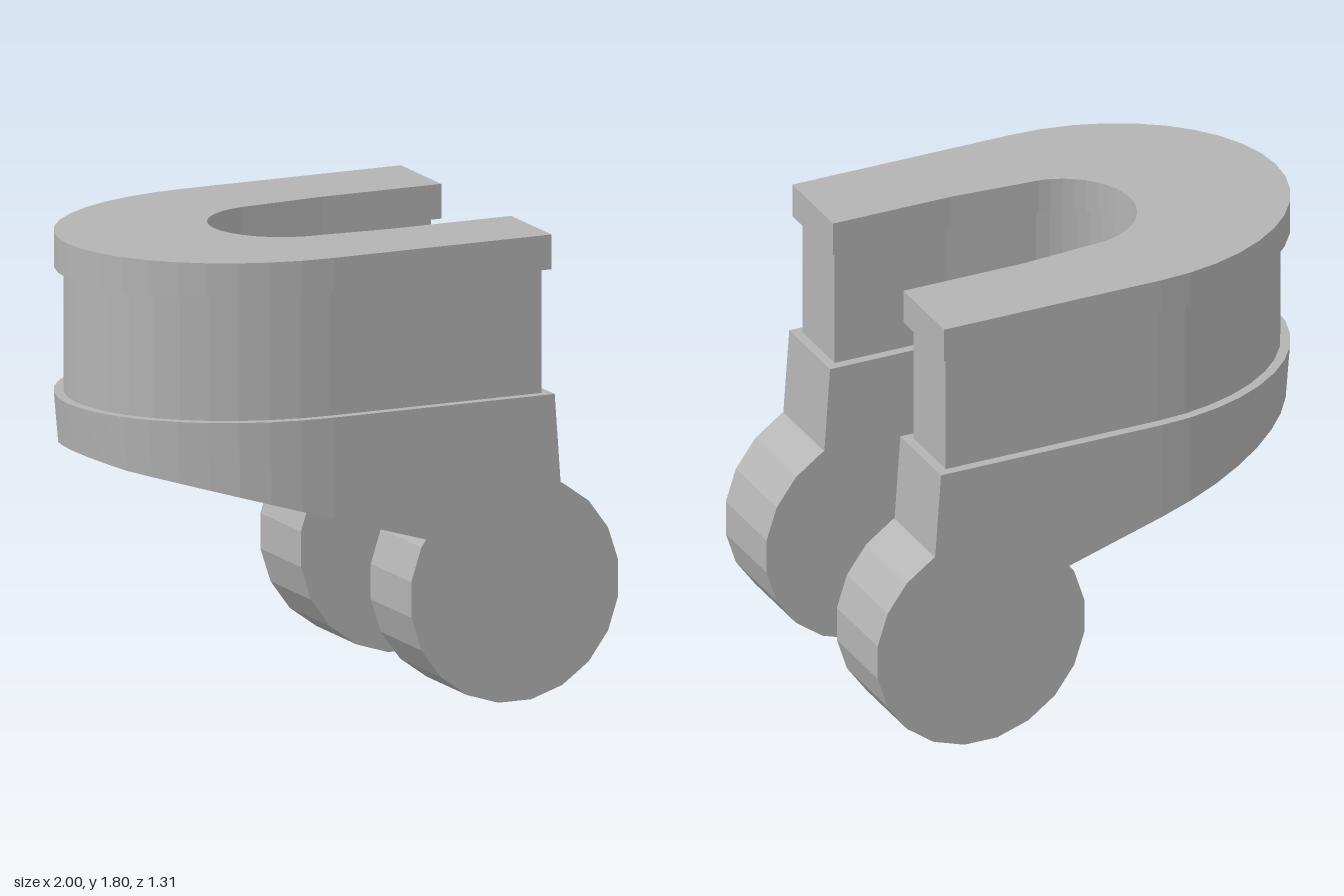
import * as THREE from 'three';

const grey = new THREE.MeshStandardMaterial({ color: 0xb3b3b3 });
grey.name = 'plain grey';

// Horseshoe outline, open towards +x; inset thins the wall on both sides
function horseshoe(inset, endX) {
  const half = [];
  const steps = 10;
  const outer = [[endX, 0.655 - inset]];
  for (let i = 0; i <= steps; i++) {
    const a = (i / steps) * Math.PI / 2;
    outer.push([-0.2 - (0.8 - inset) * Math.sin(a), (0.655 - inset) * Math.cos(a)]);
  }
  const inner = [[endX, 0.303 + inset], [0.22, 0.303 + inset]];
  for (let i = 0; i <= steps; i++) {
    const a = (i / steps) * Math.PI / 2;
    inner.push([-0.09 - (0.295 + inset) * Math.sin(a), (0.28 + inset) * Math.cos(a)]);
  }
  const mirror = (pts) => pts.slice(0, -1).reverse().map(([x, z]) => [x, -z]);
  half.push(...outer, ...mirror(outer));
  const slot = [...inner, ...mirror(inner)].reverse();
  return new THREE.Shape([...half, ...slot].map(([x, z]) => new THREE.Vector2(x, z)));
}

// Extrude a horseshoe upwards between two heights
function band(inset, endX, y0, y1) {
  const g = new THREE.ExtrudeGeometry(horseshoe(inset, endX), { depth: y1 - y0, bevelEnabled: false });
  g.rotateX(-Math.PI / 2);
  g.translate(0, y0, 0);
  return g;
}

export function createModel() {
  const group = new THREE.Group();
  group.name = 'forkBracket';
  const add = (name, geometry) => {
    const mesh = new THREE.Mesh(geometry, grey);
    mesh.name = name;
    group.add(mesh);
    return mesh;
  };

  add('topRim', band(0, 0.717, 1.66, 1.795));
  add('middleWall', band(0.038, 0.692, 1.175, 1.66));

  // Lower skirt: the underside slopes down to the legs, the ends lean slightly
  const skirt = band(0, 0.73, 0, 1.175);
  const p = skirt.attributes.position;
  for (let i = 0; i < p.count; i++) {
    if (p.getY(i) > 0.5) continue;
    let x = p.getX(i);
    if (x > 0.7) x = 0.78;
    else if (x < -0.385) x += 0.02 * (-0.385 - x) / 0.615;
    const tilt = 0.03 * Math.max(0, (Math.abs(p.getZ(i)) - 0.303) / 0.352);
    p.setXYZ(i, x, 0.99 - 0.305 * (x + 0.98) + tilt, p.getZ(i));
  }
  skirt.computeVertexNormals();
  add('lowerSkirt', skirt);

  // Twenty-sided round lugs, one at the foot of each arm
  const lug = new THREE.CylinderGeometry(0.4405, 0.4405, 0.352, 20).toNonIndexed();
  lug.rotateY(Math.PI / 20);
  lug.rotateX(Math.PI / 2);
  lug.computeVertexNormals();
  for (const side of [1, -1]) {
    add(side > 0 ? 'frontLug' : 'backLug', lug).position.set(0.562, 0.435, side * 0.479);
  }
  return group;
}
